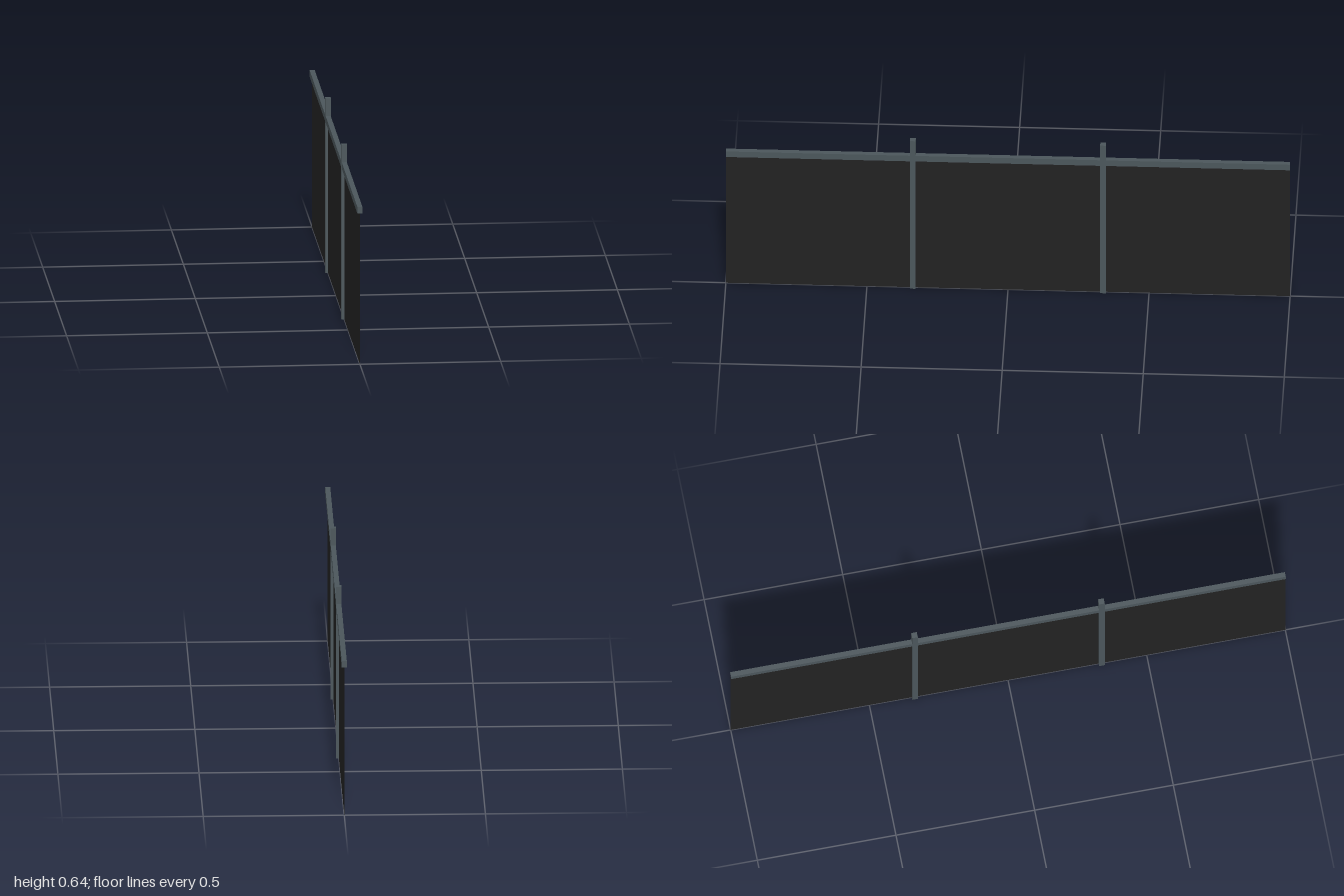
import * as THREE from 'three';

export function createModel() {
  const group = new THREE.Group();
  const steel = new THREE.MeshStandardMaterial({ color: 0x4b565b });
  steel.name = 'grey steel';
  const fabric = new THREE.MeshStandardMaterial({ color: 0x222222, side: THREE.DoubleSide });
  fabric.name = 'black sheet';

  const add = (name, geometry, material, y, z) => {
    const mesh = new THREE.Mesh(geometry, material);
    mesh.name = name;
    mesh.position.set(0, y, z);
    group.add(mesh);
  };

  // Thin sheet running the full length, up into the rail
  add('panel', new THREE.PlaneGeometry(2, 0.56).rotateY(Math.PI / 2), fabric, 0.28, 0);

  // Top rail
  add('topRail', new THREE.BoxGeometry(0.018, 0.024, 2), steel, 0.562, 0);

  // Two square posts rising above the rail
  const postHeight = 0.638;
  for (const [name, side] of [['frontPost', 1], ['backPost', -1]]) {
    add(name, new THREE.BoxGeometry(0.02, postHeight, 0.02), steel, postHeight / 2, side * 0.337);
  }
  return group;
}
